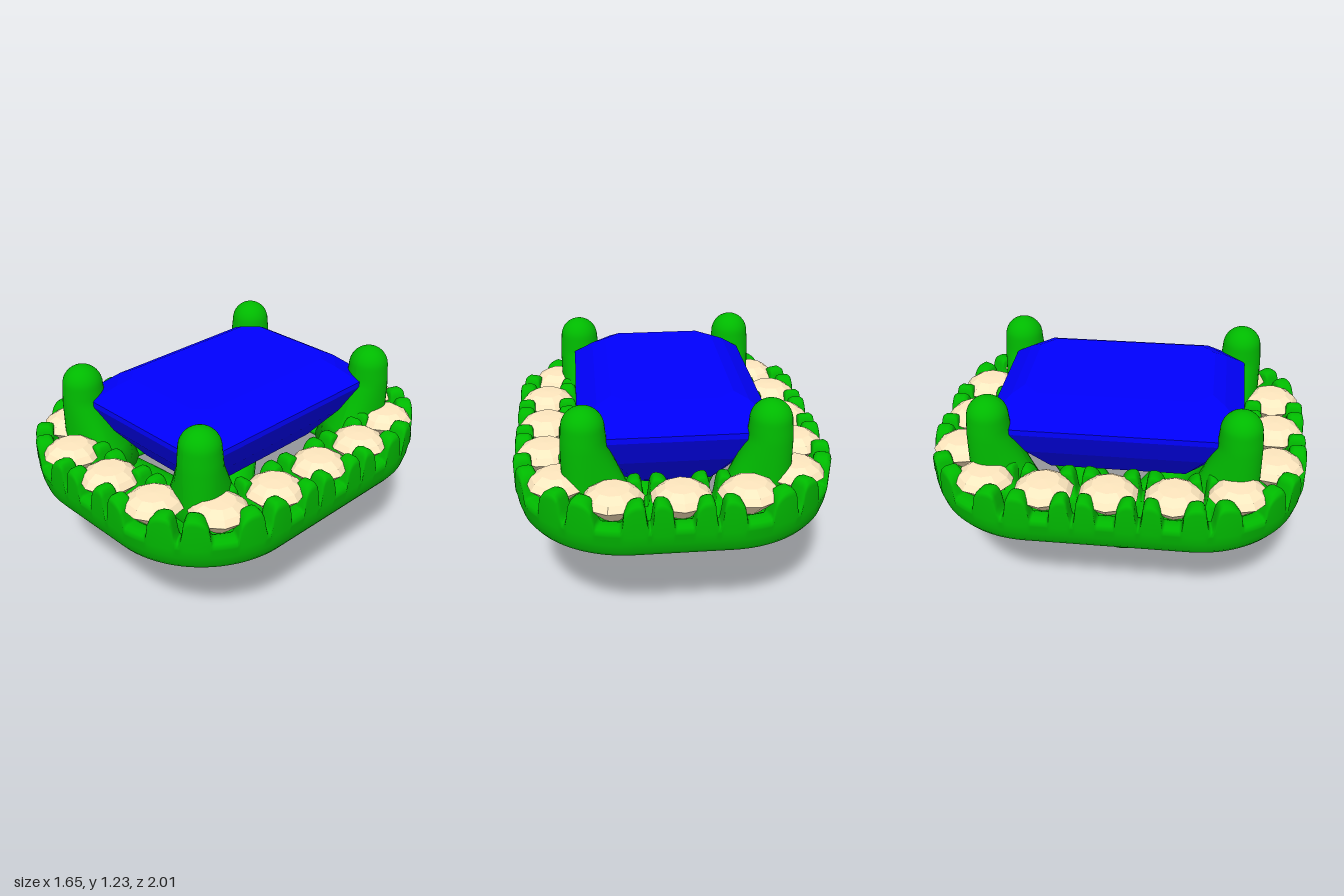
import * as THREE from 'three';

const green = new THREE.MeshStandardMaterial({ color: 0x00ba00 });
const blue = new THREE.MeshStandardMaterial({ color: 0x0000ff, flatShading: true });
const cream = new THREE.MeshStandardMaterial({ color: 0xffe8bf, flatShading: true });

// Centre line of the halo: a rounded rectangle
const HX = 0.66, HZ = 0.84, R = 0.42;
const A = HX - R, B = HZ - R, ARC = R * Math.PI / 2;
const QUARTER = A + ARC + B, LENGTH = 4 * QUARTER;
const STONES = 16, PITCH = LENGTH / STONES;

// Point and outward normal at arc length s, starting at front centre towards +x
function onPath(s) {
  s = ((s % LENGTH) + LENGTH) % LENGTH;
  const quarter = Math.floor(s / QUARTER);
  let t = s - quarter * QUARTER;
  const back = quarter === 1 || quarter === 2, left = quarter < 2;
  if (quarter % 2) t = QUARTER - t;
  let p;
  if (t < A) p = [t, HZ, 0, 1];
  else if (t < A + ARC) {
    const a = (t - A) / R;
    p = [A + R * Math.sin(a), B + R * Math.cos(a), Math.sin(a), Math.cos(a)];
  } else p = [HX, B - (t - A - ARC), 1, 0];
  const sx = left ? 1 : -1, sz = back ? -1 : 1;
  return { x: p[0] * sx, z: p[1] * sz, nx: p[2] * sx, nz: p[3] * sz };
}

// Skin over a list of equal rows; rows[i][j] = [x, y, z]
function loft(rows, wrapRows, wrapCols) {
  const n = rows.length, m = rows[0].length, index = [];
  for (let i = 0; i < (wrapRows ? n : n - 1); i++) {
    for (let j = 0; j < (wrapCols ? m : m - 1); j++) {
      const i2 = (i + 1) % n, j2 = (j + 1) % m;
      const a = i * m + j, b = i2 * m + j, c = i2 * m + j2, d = i * m + j2;
      index.push(a, b, c, a, c, d);
    }
  }
  const geo = new THREE.BufferGeometry();
  geo.setAttribute('position', new THREE.Float32BufferAttribute(rows.flat(2), 3));
  geo.setIndex(index);
  geo.computeVertexNormals();
  return geo;
}

function add(parent, name, geo, mat) {
  const mesh = new THREE.Mesh(geo, mat);
  mesh.name = name;
  parent.add(mesh);
  return mesh;
}

// Height of the scalloped walls: a U notch at each stone, a narrow slit between beads
function wallTop(s) {
  const d = Math.abs(s / PITCH - Math.round(s / PITCH)) * PITCH;
  const u = Math.min(1, Math.abs(d - 0.118) / (d < 0.118 ? 0.07 : 0.034));
  return 0.76 + 0.13 * Math.pow(1 - u ** 2.5, 0.4);
}

function haloGeometry() {
  const rows = [], steps = STONES * 48;
  for (let i = 0; i < steps; i++) {
    const s = i * LENGTH / steps, T = wallTop(s), p = onPath(s);
    const inner = Math.max(T - 0.025, 0.74);
    const profile = [
      [-0.26, 0.575], [0, 0.575], [0.085, 0.575], [0.115, 0.583], [0.135, 0.61], [0.15, 0.66],
      [0.158, 0.71], [0.163, T - 0.035], [0.157, T - 0.012], [0.14, T], [0.095, T], [0.078, T - 0.008],
      [0.07, inner], [0.066, 0.74], [-0.066, 0.74], [-0.07, inner], [-0.078, T - 0.008],
      [-0.095, T], [-0.14, T], [-0.157, T - 0.012], [-0.163, T - 0.035], [-0.165, 0.71],
      // sloped shelf under the centre stone
      [-0.18, 0.68], [-0.285, 0.605], [-0.285, 0.582],
    ];
    rows.push(profile.map(([o, y]) => [p.x + p.nx * o, y, p.z + p.nz * o]));
  }
  return loft(rows, true, true);
}

// Step-cut stone from chamfered rectangles: [half x, half z, chamfer, y]
function centreStoneGeometry() {
  const sections = [
    [0, 0, 0, 0.55], [0.004, 0.2, 0.003, 0.55], [0.27, 0.44, 0.07, 0.7], [0.41, 0.58, 0.11, 0.88],
    [0.49, 0.66, 0.13, 1.03], [0.49, 0.66, 0.13, 1.06], [0.385, 0.555, 0.11, 1.145],
    [0.31, 0.49, 0.08, 1.18], [0, 0, 0, 1.18],
  ];
  const rings = sections.map(([x, z, c, y]) => [
    [-x + c, y, z], [x - c, y, z], [x, y, z - c], [x, y, -z + c],
    [x - c, y, -z], [-x + c, y, -z], [-x, y, -z + c], [-x, y, z - c],
  ]);
  // transpose so that columns run upwards
  return loft(rings[0].map((_, j) => rings.map(r => r[j])), true, false);
}

const lathe = (pts, n) => new THREE.LatheGeometry(pts.map(p => new THREE.Vector2(...p)), n);

// Domed post whose base flares inwards under the centre stone
function prongGeometry(sx, sz) {
  const pts = [[0, 0.66], [0.115, 0.66], [0.115, 0.78], [0.115, 0.9], [0.115, 1.02], [0.112, 1.07]];
  for (let i = 0; i <= 10; i++) {
    const a = i / 10 * Math.PI / 2;
    pts.push([0.107 * Math.cos(a), 1.123 + 0.107 * Math.sin(a)]);
  }
  const geo = lathe(pts, 32), pos = geo.attributes.position;
  for (let i = 0; i < pos.count; i++) {
    const flare = 1 + Math.max(0, 1.02 - pos.getY(i)) * 3.8;
    if (pos.getX(i) * sx < 0) pos.setX(i, pos.getX(i) * flare);
    if (pos.getZ(i) * sz < 0) pos.setZ(i, pos.getZ(i) * flare);
  }
  geo.computeVertexNormals();
  return geo;
}

// Curved arm from the foot to a corner, cut flat at the ground and inside the halo
function strutGeometry(sx, sz) {
  const path = [[0, 0.08, 0], [0.135, 0.25, 0.18], [0.285, 0.435, 0.38], [0.4, 0.56, 0.54], [0.53, 0.66, 0.74]];
  const curve = new THREE.CatmullRomCurve3(path.map(([x, y, z]) => new THREE.Vector3(x * sx, y, z * sz)));
  const geo = new THREE.TubeGeometry(curve, 32, 0.12, 24);
  const pos = geo.attributes.position;
  for (let i = 0; i < pos.count; i++) pos.setY(i, THREE.MathUtils.clamp(pos.getY(i), 0.004, 0.73));
  geo.computeVertexNormals();
  return geo;
}

export function createModel() {
  const model = new THREE.Group();
  model.name = 'gemSetting';

  add(model, 'haloFrame', haloGeometry(), green);
  add(model, 'centreStone', centreStoneGeometry(), blue);

  // Round stones set along the halo
  const stones = new THREE.Group();
  stones.name = 'haloStones';
  model.add(stones);
  const stoneGeo = lathe([[0, 0.68], [0.155, 0.83], [0.13, 0.862], [0.085, 0.89], [0, 0.893]], 10);
  for (let i = 0; i < STONES; i++) {
    const p = onPath(i * PITCH);
    const stone = add(stones, 'haloStone', stoneGeo, cream);
    stone.position.set(p.x, 0, p.z);
    stone.rotation.y = Math.atan2(p.nx, p.nz);
  }

  // Corner prongs and the arms below them
  for (const sx of [1, -1]) {
    for (const sz of [1, -1]) {
      const corner = (sz > 0 ? 'front' : 'back') + (sx > 0 ? 'Left' : 'Right');
      add(model, corner + 'Prong', prongGeometry(sx, sz), green).position.set(0.46 * sx, 0, 0.64 * sz);
      add(model, corner + 'Strut', strutGeometry(sx, sz), green);
    }
  }

  // Small rounded foot where the arms meet
  add(model, 'foot', lathe([[0, 0], [0.1, 0], [0.115, 0.007], [0.125, 0.025], [0.13, 0.08], [0.08, 0.17], [0, 0.2]], 32), green);
  return model;
}
